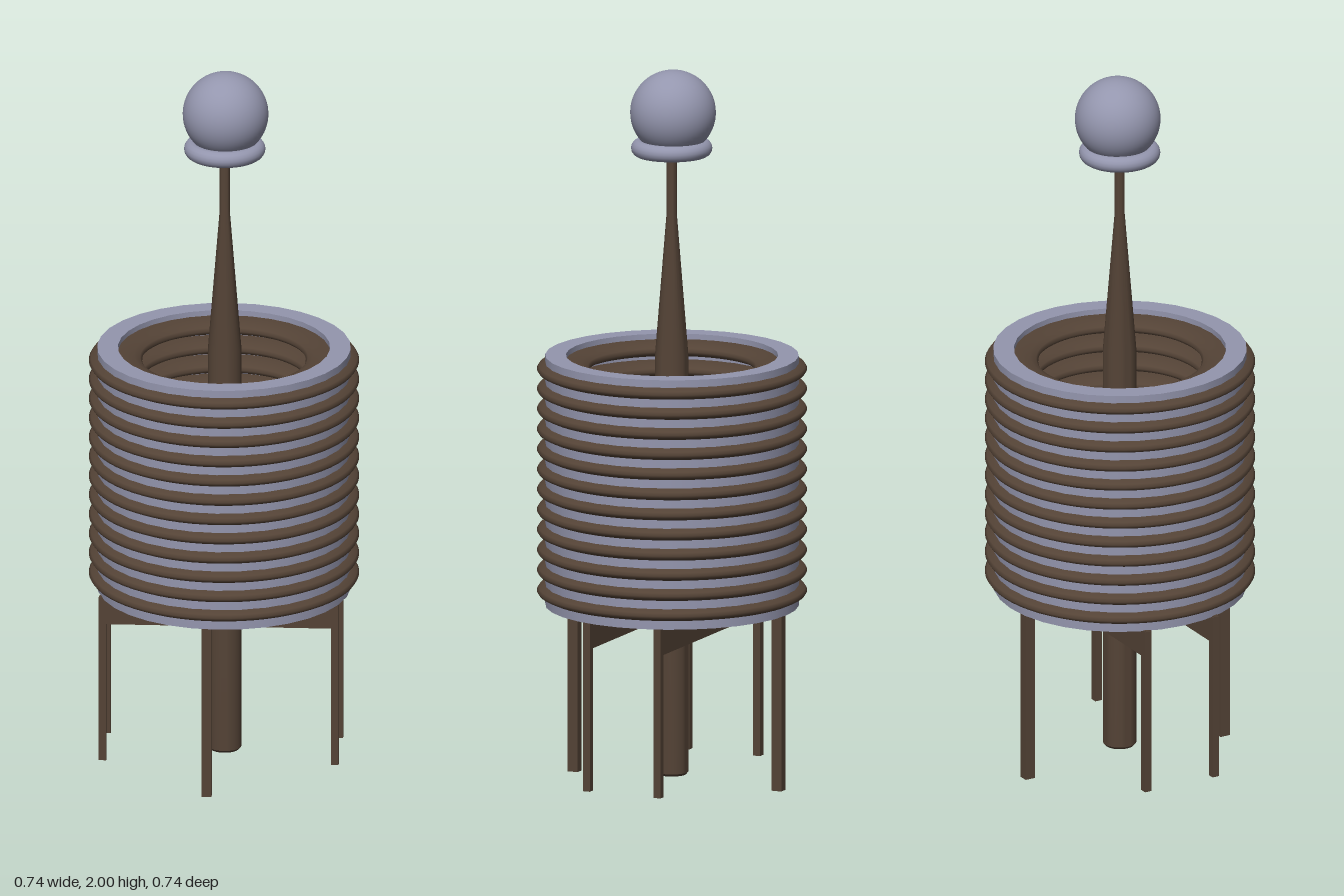
import * as THREE from 'three';
import { toCreasedNormals } from 'three/addons/utils/BufferGeometryUtils.js';

const brown = new THREE.MeshStandardMaterial({ color: 0x544336 });
const steel = new THREE.MeshStandardMaterial({ color: 0x9496ae });

export function createModel() {
  const model = new THREE.Group();

  function add(name, geometry, material, x = 0, y = 0, z = 0) {
    const mesh = new THREE.Mesh(geometry, material);
    mesh.name = name;
    mesh.position.set(x, y, z);
    model.add(mesh);
    return mesh;
  }
  function lathe(points, segments) {
    const profile = points.map(([r, y]) => new THREE.Vector2(r, y));
    return toCreasedNormals(new THREE.LatheGeometry(profile, segments), 0.5);
  }
  // Upright or beam given by its bottom and top heights
  function post(name, w, d, x, z, bottom, top) {
    add(name, new THREE.BoxGeometry(w, top - bottom, d), brown, x, (bottom + top) / 2, z);
  }

  // Hollow core cylinder
  add('coreTube', lathe([[0.292, 0.5], [0.349, 0.5], [0.349, 1.2], [0.292, 1.2], [0.292, 0.5]], 32), steel);

  // Stack of flattened winding rings passing through the core wall
  const ring = new THREE.TorusGeometry(0.2985, 0.0735, 16, 64);
  ring.rotateX(Math.PI / 2);
  ring.scale(1, 0.31, 1);
  for (let i = 0; i < 12; i++) {
    add('windingRing', ring, brown, 0, 0.541 + i * 0.0565, 0);
  }

  // Central column, tapering to a thin rod
  add('centralColumn', lathe([
    [0, 0.025], [0.04, 0.025], [0.046, 0.032], [0.046, 1.2],
    [0.014, 1.6], [0.014, 1.8], [0, 1.8],
  ], 32), brown, 0.002, 0, 0);

  // Ball terminal with its collar
  add('ball', new THREE.SphereGeometry(0.118, 48, 32), steel, 0.004, 1.882, -0.005);
  const collar = new THREE.TorusGeometry(0.089, 0.023, 16, 48);
  collar.rotateX(Math.PI / 2);
  add('collar', collar, steel, 0.002, 1.782, 0);

  // Two support beams with a leg at each end
  for (const z of [-0.107, 0.108]) {
    add('supportBeam', new THREE.BoxGeometry(0.655, 0.078, 0.02), brown, -0.008, 0.463, z);
    for (const x of [-0.328, 0.312]) post('beamLeg', 0.021, 0.021, x, z, 0.025, 0.5);
  }

  // Longer single legs at front and back
  for (const z of [-0.31, 0.31]) post('longLeg', 0.027, 0.03, -0.029, z, 0, 0.505);

  return model;
}
